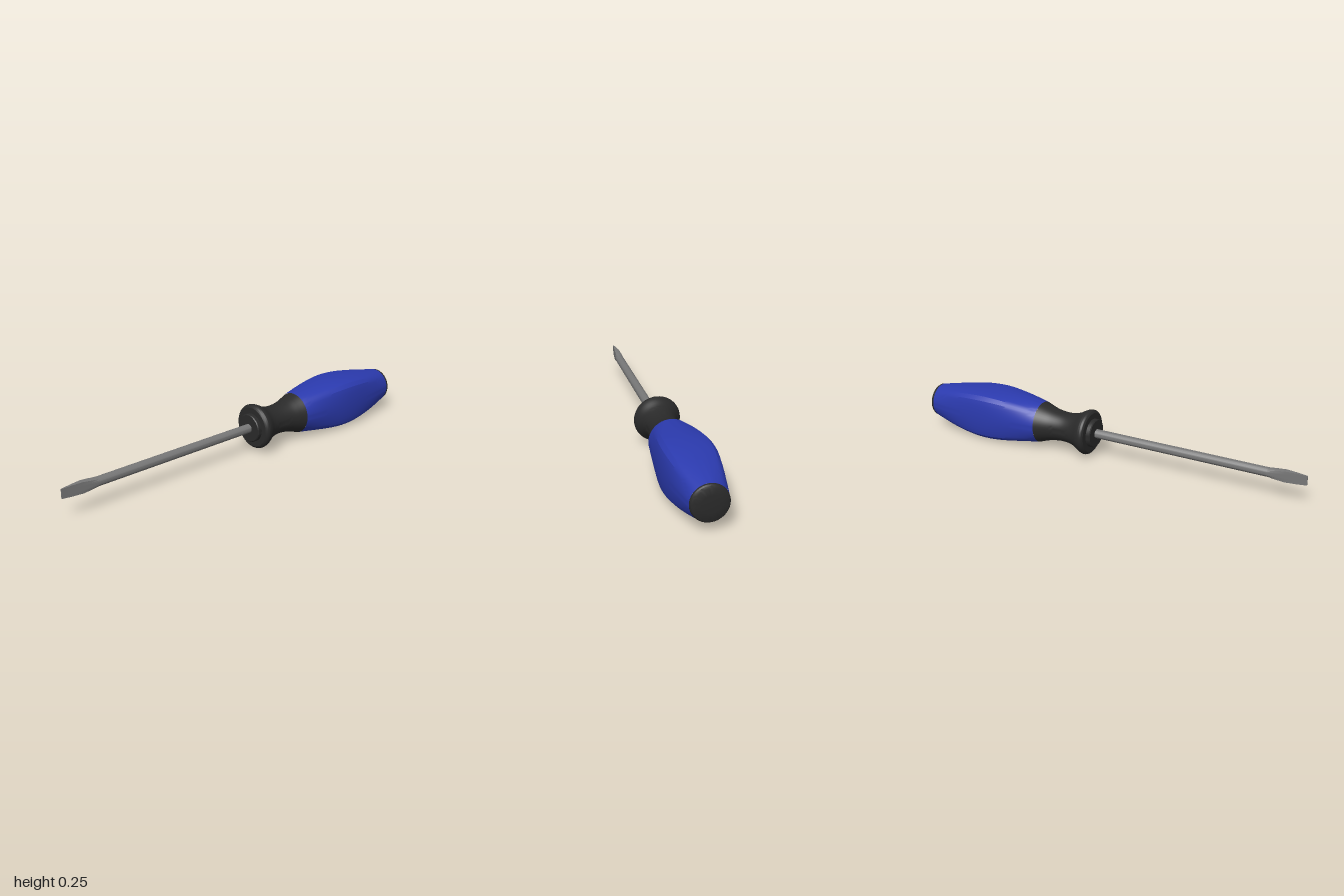
import * as THREE from 'three';
import { toCreasedNormals } from 'three/addons/utils/BufferGeometryUtils.js';

const AXIS_Y = 0.123;

// Skin a row of closed rings along x; each ring is { x, at(angle) -> [y, z] }
function loft(name, color, rings, segments, crease = 0.4) {
  const pos = [], index = [];
  for (const ring of rings) {
    for (let j = 0; j < segments; j++) {
      const [y, z] = ring.at((j / segments) * Math.PI * 2);
      pos.push(ring.x, y, z);
    }
  }
  for (let i = 0; i < rings.length - 1; i++) {
    for (let j = 0; j < segments; j++) {
      const k = (j + 1) % segments;
      const a = i * segments + j, b = i * segments + k;
      const c = a + segments, d = b + segments;
      index.push(a, b, c, b, d, c);
    }
  }
  const geo = new THREE.BufferGeometry();
  geo.setAttribute('position', new THREE.Float32BufferAttribute(pos, 3));
  geo.setIndex(index);
  const mesh = new THREE.Mesh(
    toCreasedNormals(geo, crease),
    new THREE.MeshStandardMaterial({ color })
  );
  mesh.name = name;
  return mesh;
}

const round = ([x, r]) => ({ x, at: a => [r * Math.cos(a), r * Math.sin(a)] });

const smooth = (points, count) =>
  new THREE.SplineCurve(points.map(p => new THREE.Vector2(...p)))
    .getPoints(count).map(p => [p.x, p.y]);

// Bowed square with rounded-off corners, as a radius around the axis
function squareRadius(a) {
  const quarter = Math.PI / 2;
  const folded = a - Math.round(a / quarter) * quarter;
  const t = Math.tan(folded);
  return Math.min((1 - 0.12 * t * t) / Math.cos(folded), 1.19);
}

export function createModel() {
  const model = new THREE.Group();
  model.name = 'screwdriver';
  const body = new THREE.Group();
  body.name = 'body';
  body.position.y = AXIS_Y;
  model.add(body);

  // Round shaft
  body.add(loft('shaft', 0x777777, [[-0.82, 0.022], [0.08, 0.022]].map(round), 24));

  // Flat blade: round section turning into a thin rectangle
  const blade = [ // x, half height, half thickness, squareness
    [-1, 0, 0, 1], [-1, 0.023, 0.002, 1], [-0.95, 0.026, 0.007, 1],
    [-0.9, 0.028, 0.013, 0.85], [-0.86, 0.026, 0.018, 0.45], [-0.82, 0.022, 0.022, 0],
  ].map(([x, h, d, s]) => ({
    x,
    at: a => {
      const c = Math.cos(a), n = Math.sin(a);
      const k = 1 + s * (1 / Math.max(Math.abs(c), Math.abs(n)) - 1);
      return [h * c * k, d * n * k];
    },
  }));
  body.add(loft('blade', 0x777777, blade, 24));

  // Ferrule ring and flared neck
  body.add(loft('ferrule', 0x2a2a2a,
    [[0.052, 0], [0.052, 0.066], [0.056, 0.07], [0.08, 0.07]].map(round), 48));
  const neck = smooth([
    [0.074, 0.098], [0.082, 0.108], [0.095, 0.111], [0.115, 0.104], [0.15, 0.085],
    [0.19, 0.075], [0.23, 0.073], [0.28, 0.079], [0.32, 0.09], [0.355, 0.102],
  ], 36);
  body.add(loft('neck', 0x2a2a2a, [[0.074, 0], ...neck].map(round), 48));

  // Grip: round at both ends, squared in the middle
  const grip = smooth([
    [0.355, 0.102], [0.45, 0.112], [0.55, 0.12], [0.63, 0.123],
    [0.72, 0.12], [0.82, 0.11], [0.9, 0.098], [0.978, 0.084],
  ], 40).map(([x, r]) => {
    const u = (x - 0.355) / 0.623;
    const s = Math.pow(Math.max(0, Math.sin(Math.PI * Math.min(u, 1))), 0.8);
    return {
      x,
      at: a => {
        const k = r * (1 + s * (squareRadius(a) - 1));
        return [k * Math.cos(a), k * Math.sin(a)];
      },
    };
  });
  body.add(loft('grip', 0x2b3aae, grip, 72));

  // Slightly domed end cap
  body.add(loft('endCap', 0x2a2a2a,
    [[0.978, 0.084], [0.986, 0.083], [0.992, 0.079], [0.996, 0.07],
      [0.999, 0.04], [1, 0]].map(round), 48));

  return model;
}
